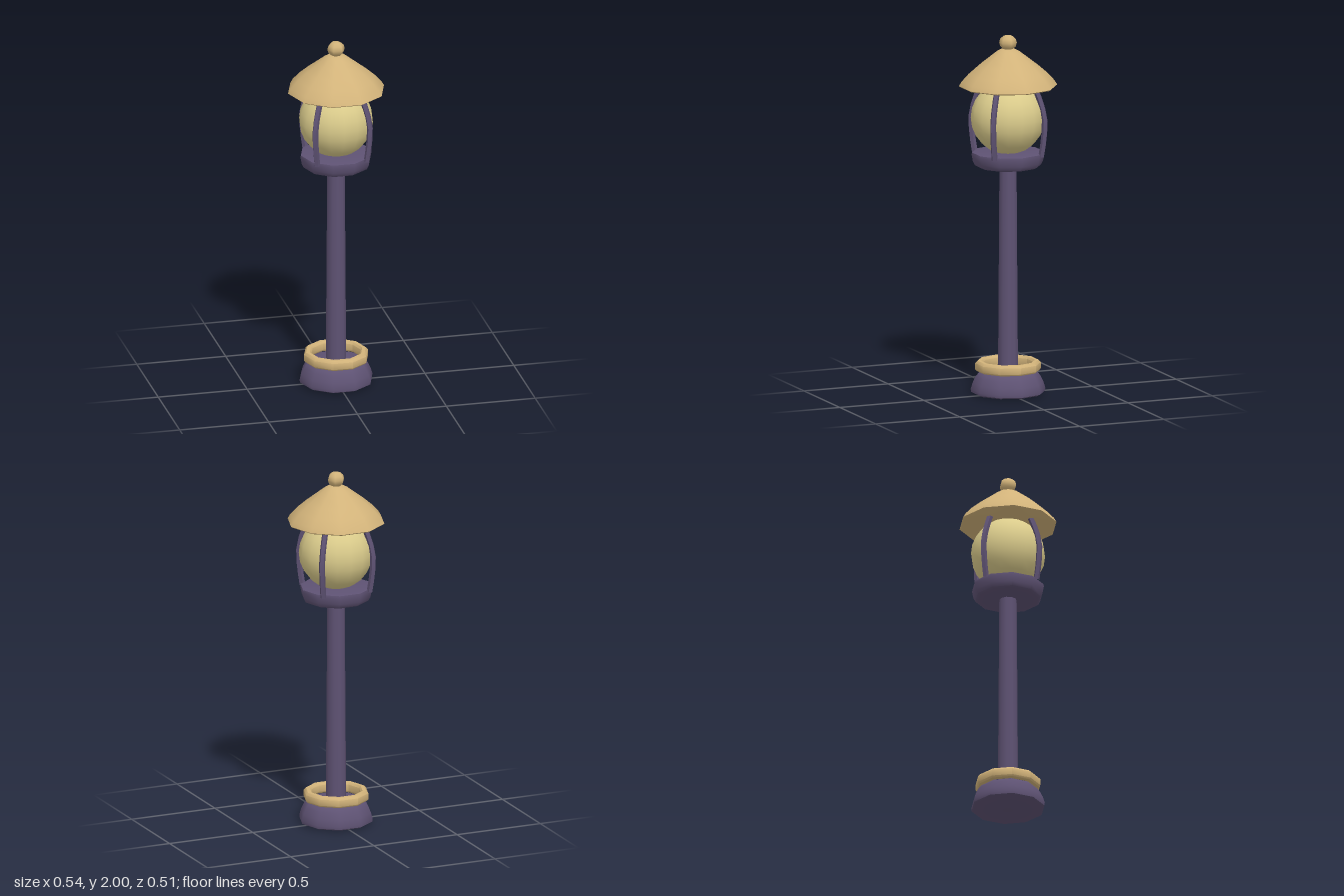
import * as THREE from 'three';
import { toCreasedNormals } from 'three/addons/utils/BufferGeometryUtils.js';

const mat = (name, color) => {
  const m = new THREE.MeshStandardMaterial({ color });
  m.name = name;
  return m;
};

export function createModel() {
  const lamp = new THREE.Group();
  lamp.name = 'streetLamp';
  const purple = mat('dusky purple metal', 0x5e5273);
  const tan = mat('warm tan', 0xd2b37a);
  const glow = mat('pale yellow glass', 0xdacb8b);

  const add = (name, geometry, material, y = 0) => {
    const mesh = new THREE.Mesh(geometry, material);
    mesh.name = name;
    mesh.position.y = y;
    lamp.add(mesh);
    return mesh;
  };
  // Ten-sided turned part with a corner on +x; profile runs bottom to top
  const turned = (profile, sides = 10) => toCreasedNormals(
    new THREE.LatheGeometry(profile.map(([r, y]) => new THREE.Vector2(r, y)), sides, Math.PI / 2), 0.75);

  // Foot and its collar
  add('base', turned([[0, 0], [0.185, 0.003], [0.203, 0.012], [0.205, 0.028], [0.195, 0.062],
    [0.178, 0.098], [0.16, 0.12], [0.14, 0.127], [0, 0.127]]), purple);
  add('baseRing', turned([[0.145, 0.128], [0.172, 0.128], [0.18, 0.137], [0.18, 0.172], [0.168, 0.185],
    [0.148, 0.185], [0.138, 0.174], [0.138, 0.138], [0.145, 0.128]]), tan);

  // Slightly tapered pole
  add('pole', new THREE.CylinderGeometry(0.048, 0.056, 1.17, 10, 1, true), purple, 0.7);

  // Cup holding the globe
  add('cup', turned([[0, 1.267], [0.165, 1.267], [0.182, 1.275], [0.193, 1.297], [0.2, 1.335],
    [0.198, 1.347], [0.185, 1.35], [0, 1.35]]), purple);
  add('globe', new THREE.SphereGeometry(0.204, 16, 12), glow, 1.54);

  // Four bowed ribs on the diagonals
  const bow = new THREE.CatmullRomCurve3([[0.197, 1.335], [0.213, 1.44], [0.217, 1.54], [0.195, 1.63], [0.155, 1.725]]
    .map(([r, y]) => new THREE.Vector3(r, y, 0)));
  const ribGeometry = toCreasedNormals(new THREE.TubeGeometry(bow, 6, 0.017, 5), 0.6);
  for (let i = 0; i < 4; i++) {
    add('rib', ribGeometry, purple).rotation.y = Math.PI / 4 + i * Math.PI / 2;
  }

  // Roof with flat underside, and finial
  add('roof', turned([[0, 1.712], [0.262, 1.712], [0.27, 1.718], [0.255, 1.743], [0.217, 1.785],
    [0.165, 1.83], [0.105, 1.876], [0.065, 1.907], [0.04, 1.92], [0, 1.924]]), tan);
  const finial = add('finial', new THREE.SphereGeometry(0.049, 6, 6), tan, 1.957);
  finial.scale.y = 0.88;

  return lamp;
}
